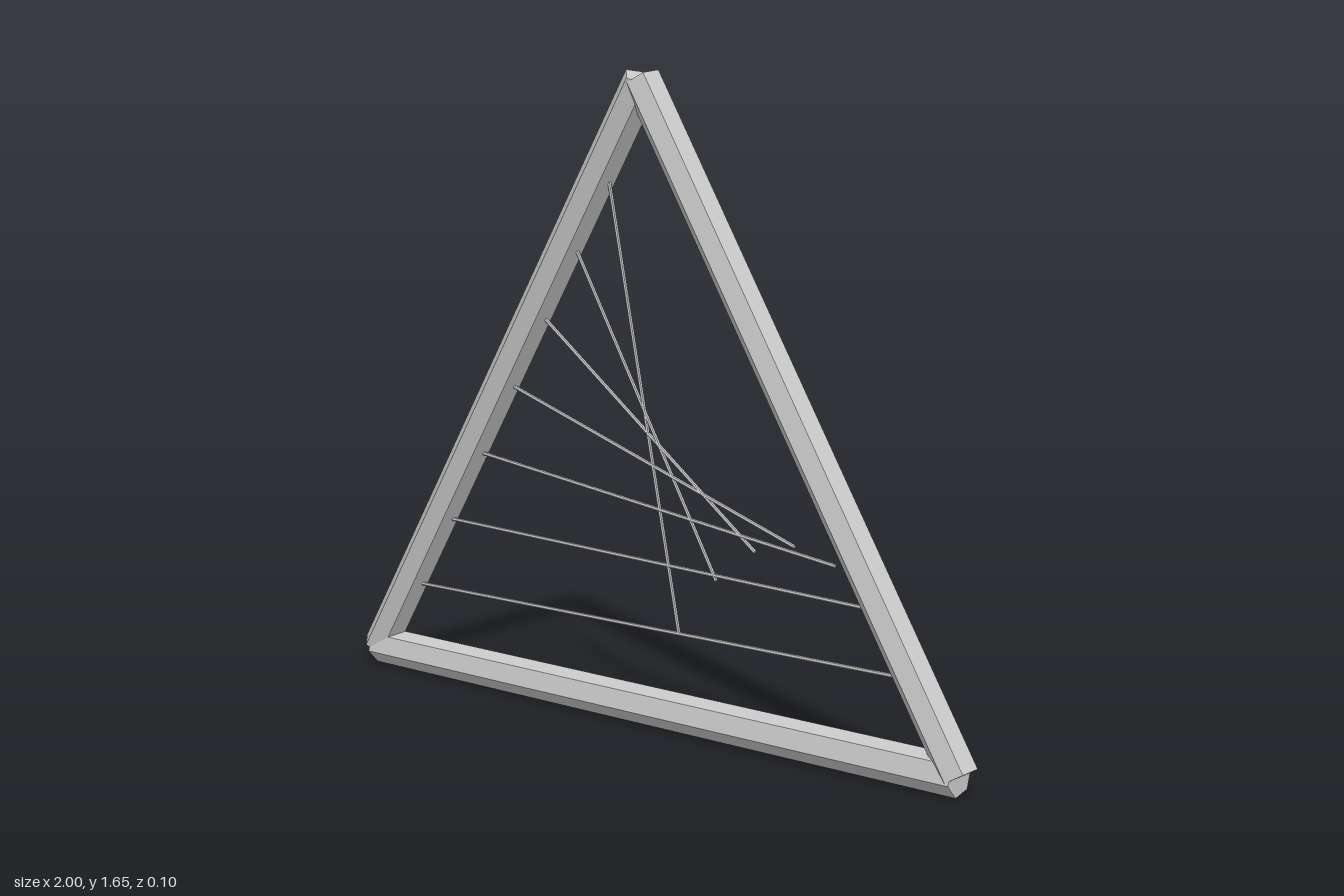
import * as THREE from 'three';

const grey = new THREE.MeshStandardMaterial({ color: 0xc8c8c8 });
grey.name = 'plain grey';

const BAR_R = 0.049, ROD_R = 0.005;
const TILT = THREE.MathUtils.degToRad(17);

// Faceted six-sided bar between two points; local z stays on world z
function hexBar(name, a, b, radius, tilt) {
  const dir = b.clone().sub(a);
  const length = dir.length();
  dir.normalize();
  let geo = new THREE.CylinderGeometry(radius, radius, length, 6, 1, false, Math.PI / 2 - tilt);
  geo = geo.toNonIndexed();
  geo.computeVertexNormals();
  const z = new THREE.Vector3(0, 0, 1);
  const side = new THREE.Vector3().crossVectors(dir, z);
  const mesh = new THREE.Mesh(geo, grey);
  mesh.name = name;
  mesh.quaternion.setFromRotationMatrix(new THREE.Matrix4().makeBasis(side, dir, z));
  mesh.position.copy(a).lerp(b, 0.5);
  return mesh;
}

export function createModel() {
  const model = new THREE.Group();
  model.name = 'stringFrame';

  const left = new THREE.Vector3(-0.96, 0.047, 0);
  const right = new THREE.Vector3(0.96, 0.047, 0);
  const apex = new THREE.Vector3(0, 1.626, 0);

  // Triangular frame, counterclockwise
  model.add(hexBar('bottomBar', left, right, BAR_R, TILT));
  model.add(hexBar('leftBar', right, apex, BAR_R, -TILT));
  model.add(hexBar('rightBar', apex, left, BAR_R, TILT));

  // Seven rods from even steps up one side bar to points on a parabola
  const rods = new THREE.Group();
  rods.name = 'rods';
  for (let k = 1; k < 8; k++) {
    const t = k / 8;
    const start = left.clone().lerp(apex, t);
    const end = new THREE.Vector3(0.96 * (1 - t), 0.047 + 1.9 * t * (1 - t), 0);
    rods.add(hexBar('rod' + k, start, end, ROD_R, TILT));
  }
  model.add(rods);
  return model;
}
